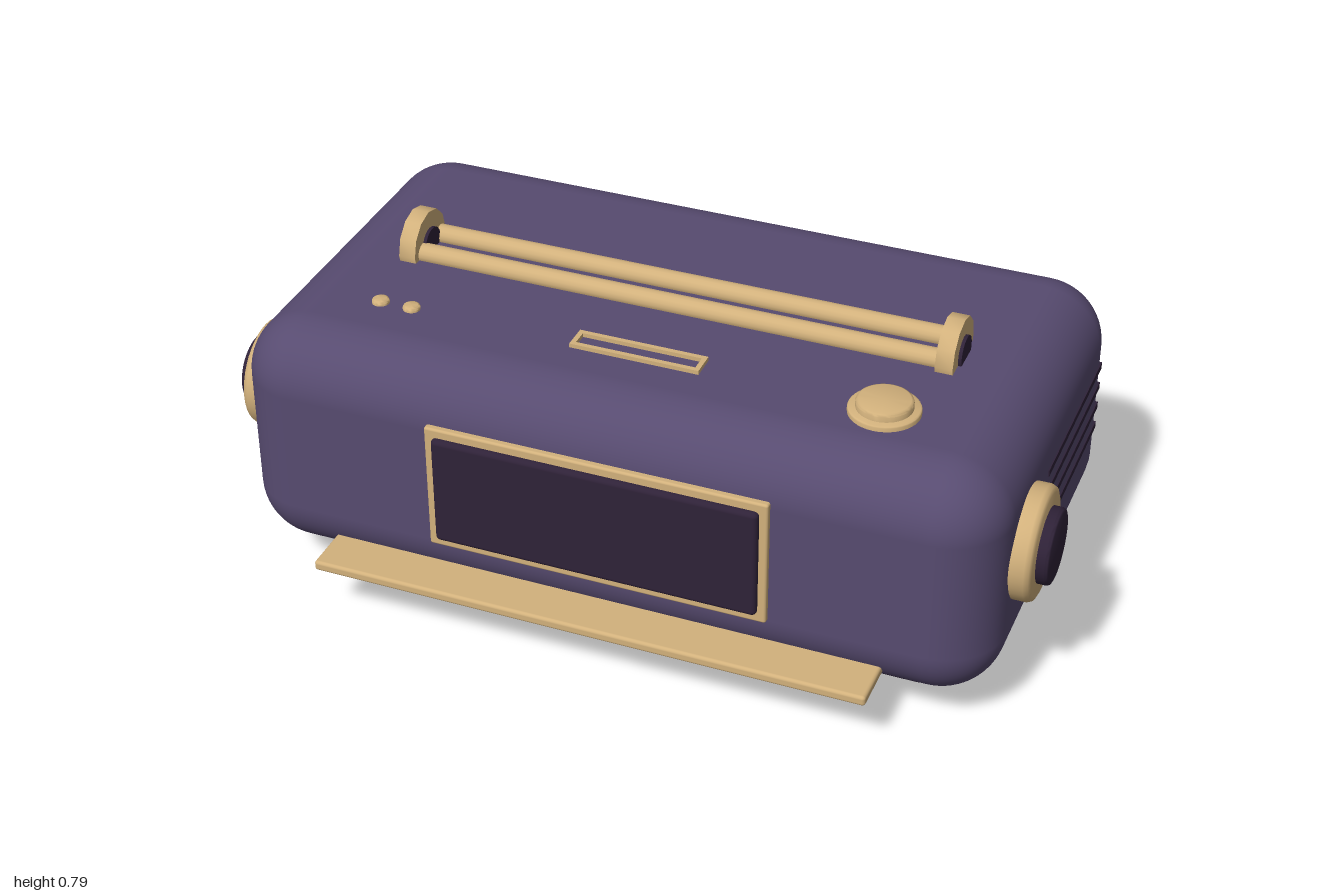
import * as THREE from 'three';
import { RoundedBoxGeometry } from 'three/addons/geometries/RoundedBoxGeometry.js';
import { toCreasedNormals } from 'three/addons/utils/BufferGeometryUtils.js';

const mat = (name, color) => Object.assign(new THREE.MeshStandardMaterial({ color }), { name });

export function createModel() {
  const purple = mat('purple', 0x574b70);
  const gold = mat('gold', 0xd2b17c);
  const dark = mat('dark plum', 0x2f2238);
  const group = new THREE.Group();

  const add = (name, geometry, material, x, y, z) => {
    const mesh = new THREE.Mesh(geometry, material);
    mesh.name = name;
    mesh.position.set(x, y, z);
    group.add(mesh);
    return mesh;
  };
  // Rounded box given by its extents on each axis
  const block = (name, material, [x0, x1], [y0, y1], [z0, z1], radius, segments = 3) =>
    add(name, new RoundedBoxGeometry(x1 - x0, y1 - y0, z1 - z0, segments, radius), material,
      (x0 + x1) / 2, (y0 + y1) / 2, (z0 + z1) / 2);
  // Closed disc with a bevelled upper rim, rising along +y from 0
  const disc = (radius, height, bevel, sides = 40) => {
    const profile = [[0, 0], [radius, 0], [radius, height - bevel],
      [radius - bevel * 0.3, height - bevel * 0.3], [radius - bevel, height], [0, height]];
    return toCreasedNormals(
      new THREE.LatheGeometry(profile.map(([r, y]) => new THREE.Vector2(r, y)), sides), 0.9);
  };

  // Main case
  block('body', purple, [-0.925, 0.925], [0.085, 0.69], [-0.57, 0.47], 0.15, 8);

  // Front display and lower ledge
  block('displayFrame', gold, [-0.415, 0.415], [0.235, 0.56], [0.44, 0.484], 0.006);
  block('displayScreen', dark, [-0.395, 0.395], [0.257, 0.538], [0.45, 0.498], 0.012);
  block('frontLedge', gold, [-0.68, 0.68], [0.142, 0.168], [0.4, 0.57], 0.008);

  // Parts mirrored on both sides
  for (const s of [-1, 1]) {
    block('foot', dark, [s * 0.56 - 0.2, s * 0.56 + 0.2], [0.003, 0.1], [-0.335, 0.305], 0.04, 5);

    const ring = add('sideDialRing', disc(0.135, 0.062, 0.015), gold, s * 0.91, 0.42, 0.21);
    const cap = add('sideDialCap', disc(0.089, 0.07, 0.008), dark, s * 0.93, 0.42, 0.21);
    ring.rotation.z = cap.rotation.z = -s * Math.PI / 2;

    for (let i = 0; i < 4; i++) {
      add('sideVent', new THREE.BoxGeometry(0.01, 0.018, 0.485), dark,
        s * 0.923, 0.315 + i * 0.0567, -0.207);
    }

    // Handle end disc with its hub
    const end = add('handleEnd', new THREE.CylinderGeometry(0.084, 0.084, 0.042, 12), gold,
      s * 0.667, 0.705, -0.048);
    end.geometry = toCreasedNormals(end.geometry, 0.6);
    const hub = add('handleHub', new THREE.CylinderGeometry(0.041, 0.041, 0.058, 24), dark,
      s * 0.667, 0.705, -0.048);
    end.rotation.z = hub.rotation.z = Math.PI / 2;
  }

  // Twin handle rods
  for (const z of [-0.105, -0.008]) {
    const rod = add('handleRod', new THREE.CylinderGeometry(0.025, 0.025, 1.3, 16), gold, 0, 0.7, z);
    rod.rotation.z = Math.PI / 2;
  }

  // Top knob in two tiers
  add('knobBase', disc(0.083, 0.023, 0.004), gold, 0.59, 0.68, 0.225);
  add('knobTop', disc(0.065, 0.032, 0.007), gold, 0.59, 0.691, 0.225);

  // Small buttons
  for (const x of [-0.645, -0.565]) {
    add('button', disc(0.021, 0.019, 0.006, 20), gold, x, 0.682, 0.22);
  }

  // Thin rectangular trim frame on top
  for (const s of [-1, 1]) {
    add('trimLong', new THREE.BoxGeometry(0.315, 0.016, 0.012), gold, 0, 0.692, 0.207 + s * 0.026);
    add('trimShort', new THREE.BoxGeometry(0.012, 0.016, 0.064), gold, s * 0.1515, 0.692, 0.207);
  }

  return group;
}
